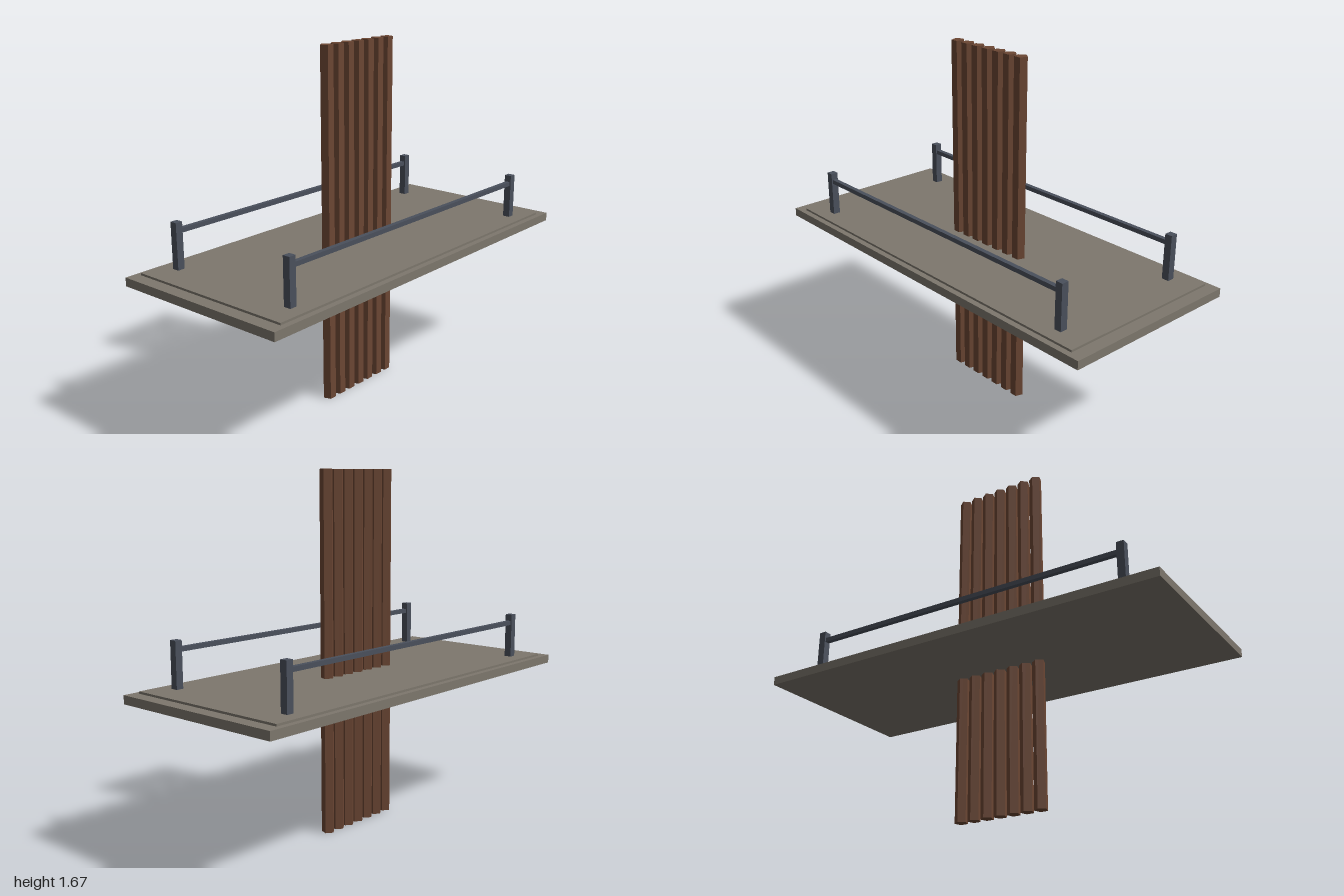
import * as THREE from 'three';

export function createModel() {
  const model = new THREE.Group();
  model.name = 'slattedPlatform';

  const mat = (name, color, flatShading = false) => {
    const m = new THREE.MeshStandardMaterial({ color, flatShading });
    m.name = name;
    return m;
  };
  const stone = mat('warm grey stone', 0x7d776d);
  const wood = mat('brown wood', 0x6b4633, true);
  const steel = mat('slate steel', 0x4a505c);

  const add = (name, geometry, material, x, y, z) => {
    const mesh = new THREE.Mesh(geometry, material);
    mesh.name = name;
    mesh.position.set(x, y, z);
    model.add(mesh);
    return mesh;
  };

  // Platform slab with a thin raised panel on top
  add('platform', new THREE.BoxGeometry(2, 0.04, 0.89), stone, 0, 0.705, 0);
  add('raisedPanel', new THREE.BoxGeometry(1.88, 0.012, 0.835), stone, 0, 0.729, 0);

  // Row of five-sided poles passing through the platform, ridge to the back
  const poleGeo = new THREE.CylinderGeometry(0.031, 0.031, 1.67, 5);
  poleGeo.rotateY(Math.PI);
  for (let i = -3; i <= 3; i++) {
    add('pole', poleGeo, wood, i * 0.0685, 0.835, 0.001);
  }

  // Front and back railings: a bar between two posts
  const postGeo = new THREE.BoxGeometry(0.035, 0.215, 0.035);
  const barGeo = new THREE.BoxGeometry(1.6, 0.021, 0.022);
  for (const z of [-0.334, 0.334]) {
    for (const x of [-0.8, 0.8]) add('railPost', postGeo, steel, x, 0.8415, z);
    add('railBar', barGeo, steel, 0, 0.907, z);
  }

  return model;
}
